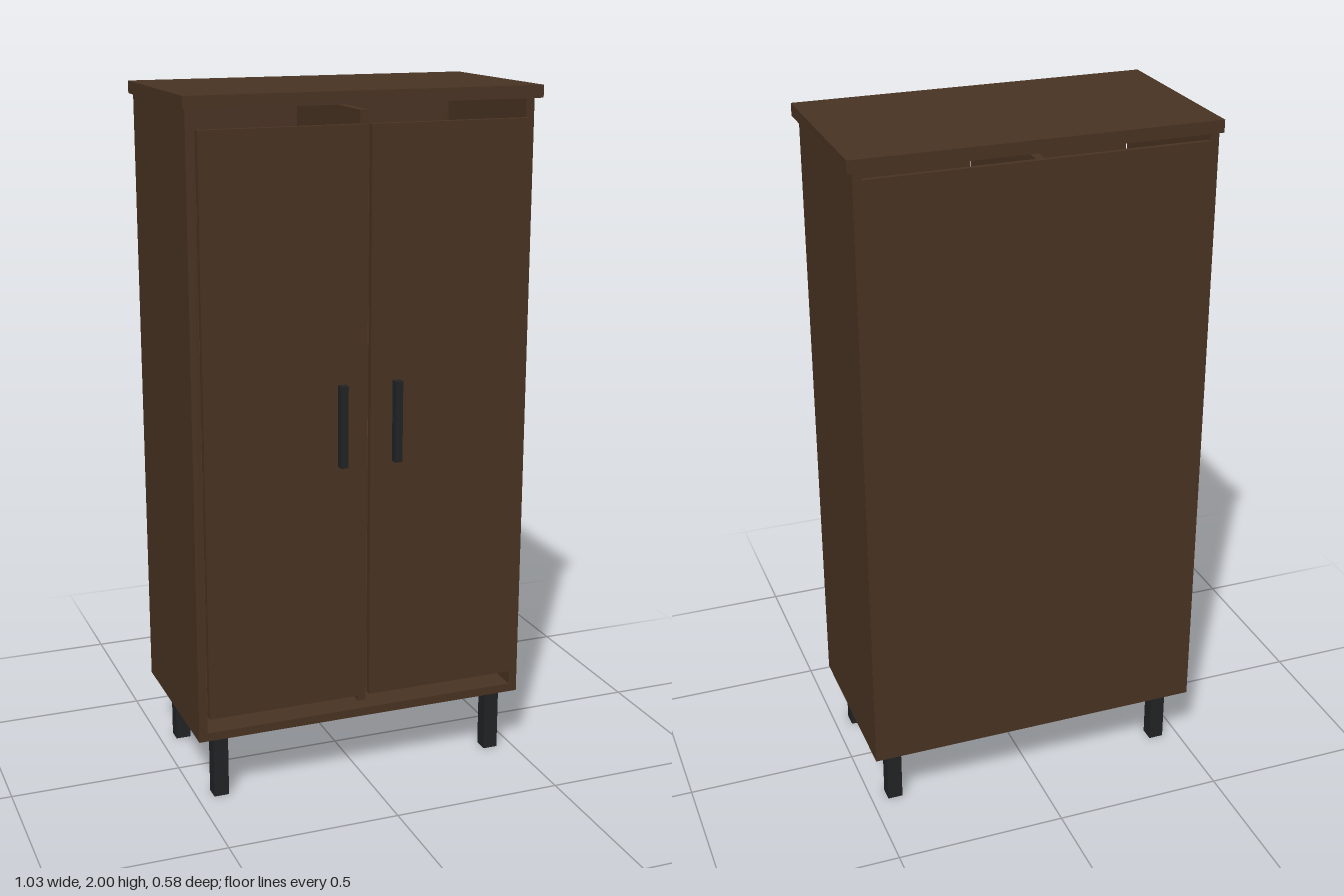
import * as THREE from 'three';

export function createModel() {
  const cabinet = new THREE.Group();
  cabinet.name = 'cabinet';

  const wood = new THREE.MeshStandardMaterial({ color: 0x4a3423 });
  wood.name = 'dark wood';
  const metal = new THREE.MeshStandardMaterial({ color: 0x222325 });
  metal.name = 'black metal';

  // Box given by its lower and upper bounds on each axis
  function box(name, material, [x0, x1], [y0, y1], [z0, z1]) {
    const mesh = new THREE.Mesh(new THREE.BoxGeometry(x1 - x0, y1 - y0, z1 - z0), material);
    mesh.position.set((x0 + x1) / 2, (y0 + y1) / 2, (z0 + z1) / 2);
    mesh.name = name;
    cabinet.add(mesh);
  }
  // Mirrors an x range for the right-hand side
  const flip = (range, side) => (side > 0 ? range : [-range[1], -range[0]]);

  const front = 0.233;
  const back = -0.29;

  // Carcass: overhanging top, floor, back with a ventilation gap above, divider
  box('topPanel', wood, [-0.513, 0.513], [1.965, 2], [-0.293, 0.261]);
  box('bottomPanel', wood, [-0.475, 0.475], [0.19, 0.215], [back, front]);
  box('backPanel', wood, [-0.499, 0.499], [0.191, 1.946], [back - 0.002, back + 0.012]);
  box('divider', wood, [-0.012, 0.012], [0.235, 1.946], [back + 0.012, front - 0.01]);

  for (const side of [1, -1]) {
    const label = side > 0 ? 'left' : 'right';
    box(label + 'SidePanel', wood, flip([0.475, 0.5], side), [0.19, 1.965], [back, front]);

    // Shelves in each bay
    for (const y of [0.57, 0.94, 1.3, 1.67]) {
      box(label + 'Shelf', wood, flip([0.012, 0.475], side), [y - 0.02, y], [back + 0.012, front - 0.03]);
    }

    // Doors stand slightly in front of the carcass
    box(label + 'Door', wood, flip([0.007, 0.476], side), [0.27, 1.912], [0.24, 0.261]);
    box(label + 'Handle', metal, flip([0.07, 0.092], side), [0.975, 1.208], [0.266, 0.29]);

    // Square legs
    for (const [end, z] of [['Front', 0.187], ['Back', -0.213]]) {
      box(label + end + 'Leg', metal, flip([0.408, 0.452], side), [0, 0.19], [z - 0.022, z + 0.022]);
    }
  }
  return cabinet;
}
